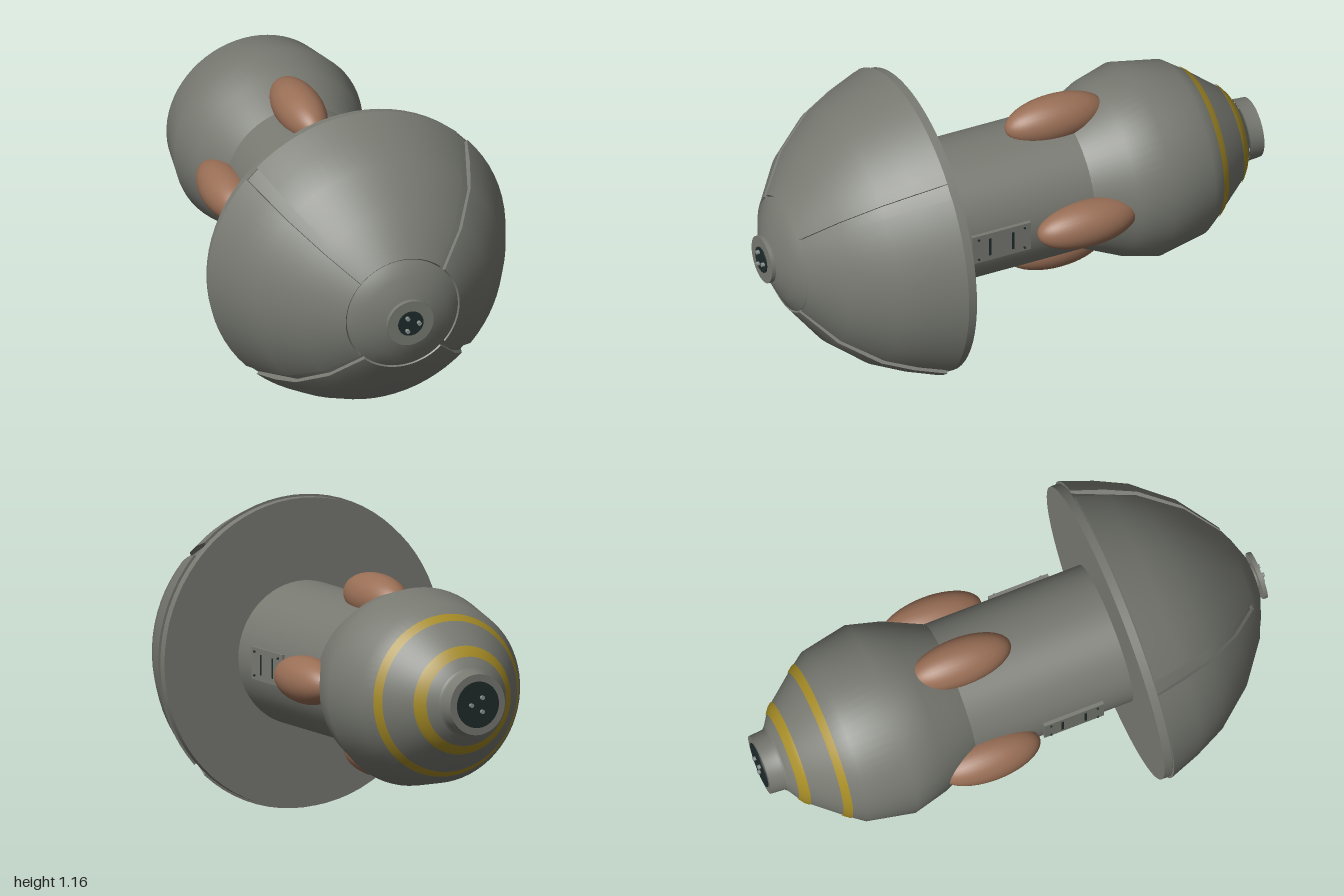
import * as THREE from 'three';

const paint = (name, color, side = THREE.FrontSide) => {
  const m = new THREE.MeshStandardMaterial({ color, side });
  m.name = name;
  return m;
};

export function createModel() {
  const grey = paint('hull grey', 0x787a72);
  const greySheet = paint('hull grey', 0x787a72, THREE.DoubleSide);
  const brown = paint('pod brown', 0x9a6f56);
  const yellow = paint('band yellow', 0xa68c26);
  const dark = paint('socket dark', 0x1f2b2b);
  const silver = paint('pin silver', 0x87918f);

  const model = new THREE.Group();
  model.name = 'model';
  // All parts are turned around the z axis, then lifted to the axis height
  const body = new THREE.Group();
  body.name = 'body';
  body.position.y = 0.583;
  model.add(body);

  const add = (name, geometry, material, parent = body) => {
    const mesh = new THREE.Mesh(geometry, material);
    mesh.name = name;
    parent.add(mesh);
    return mesh;
  };
  const vectors = (pts) => pts.map(([r, z]) => new THREE.Vector2(r, z));
  // Profile points are [radius, z], from back to front
  const turned = (name, pts, material, start = 0, length = Math.PI * 2) => {
    const segments = Math.round(64 * length / (Math.PI * 2)) + 2;
    const geo = new THREE.LatheGeometry(vectors(pts), segments, start, length);
    return add(name, geo.rotateX(Math.PI / 2), material);
  };
  const disc = (name, r, z0, z1, material, x = 0, y = 0, sides = 40) => {
    const geo = new THREE.CylinderGeometry(r, r, z1 - z0, sides).rotateX(Math.PI / 2);
    add(name, geo, material).position.set(x, y, (z0 + z1) / 2);
  };

  // Front dome: base plate, recessed inner shell and nose
  disc('domeBase', 0.573, 0.38, 0.412, grey, 0, 0, 72);
  turned('innerDome', [[0.57, 0.412], [0.47, 0.643], [0.355, 0.782], [0.21, 0.89]], grey);
  turned('nose', [[0.216, 0.885], [0.215, 0.9], [0.16, 0.928], [0.09, 0.955], [0, 0.968]], grey);

  // Four raised petals separated by narrow radial grooves
  const outer = [[0.581, 0.415], [0.537, 0.535], [0.482, 0.65], [0.368, 0.79], [0.222, 0.9]];
  const inner = [[0.21, 0.885], [0.355, 0.775], [0.468, 0.638], [0.566, 0.415]];
  const groove = 0.1;
  for (let i = 0; i < 4; i++) {
    const start = Math.PI / 4 + groove / 2 + i * Math.PI / 2;
    const length = Math.PI / 2 - groove;
    turned('petal', outer, grey, start, length);
    turned('petalInnerEdge', [outer[4], inner[0]], greySheet, start, length);
    turned('petalRim', [inner[3], outer[0]], greySheet, start, length);
    for (const phi of [start, start + length]) {
      const end = new THREE.ShapeGeometry(new THREE.Shape(vectors([...outer, ...inner])));
      end.rotateY(phi - Math.PI / 2).rotateX(Math.PI / 2);
      add('petalEnd', end, greySheet);
    }
  }

  // Shaft and rear bulb
  disc('shaft', 0.267, -0.3, 0.39, grey, 0, 0, 64);
  turned('bulb', [[0.125, -0.92], [0.184, -0.88], [0.285, -0.755], [0.332, -0.69],
    [0.367, -0.51], [0.333, -0.38], [0.262, -0.225]], grey);
  turned('tailNeck', [[0.113, -0.985], [0.117, -0.93], [0.126, -0.92]], grey);
  turned('tailFace', [[0, -0.985], [0.113, -0.985]], grey);

  // Yellow bands follow the slope of the bulb
  turned('rearBand', [[0.165, -0.897], [0.19, -0.878], [0.201, -0.864]], yellow);
  turned('frontBand', [[0.279, -0.767], [0.289, -0.755], [0.301, -0.738]], yellow);

  // Four pods around the shaft
  for (let i = 0; i < 4; i++) {
    const a = i * Math.PI / 2;
    const pod = add('pod', new THREE.SphereGeometry(1, 32, 24).rotateX(Math.PI / 2), brown);
    pod.scale.set(0.088, 0.088, 0.197);
    pod.position.set(Math.cos(a) * 0.287, Math.sin(a) * 0.287, -0.193);
  }

  // Access panel with two slots and four rivets on each side
  for (const side of [1, -1]) {
    const panel = new THREE.Group();
    panel.name = side > 0 ? 'leftPanel' : 'rightPanel';
    panel.position.set(side * 0.267, 0, 0.145);
    body.add(panel);
    add('panelPlate', new THREE.BoxGeometry(0.014, 0.12, 0.235), grey, panel);
    for (const z of [-0.046, 0.046]) {
      const slot = add('slot', new THREE.BoxGeometry(0.006, 0.075, 0.009), dark, panel);
      slot.position.set(side * 0.006, 0, z);
    }
    for (const y of [-0.044, 0.044]) for (const z of [-0.092, 0.092]) {
      const geo = new THREE.CylinderGeometry(0.004, 0.004, 0.01, 10).rotateZ(Math.PI / 2);
      add('rivet', geo, dark, panel).position.set(side * 0.008, y, z);
    }
  }

  // Sockets at both ends, each with three pins
  disc('noseCollar', 0.05, 0.95, 0.975, grey);
  disc('noseFlange', 0.09, 0.968, 0.984, grey);
  disc('noseSocket', 0.049, 0.982, 0.988, dark);
  disc('tailSocket', 0.086, -0.989, -0.982, dark);
  for (let i = 0; i < 3; i++) {
    const a = i * Math.PI * 2 / 3;
    const x = Math.cos(a) * 0.03, y = Math.sin(a) * 0.03;
    disc('nosePin', 0.008, 0.985, 1, silver, x, y, 12);
    disc('tailPin', 0.008, -1, -0.985, silver, x, y, 12);
  }
  return model;
}
